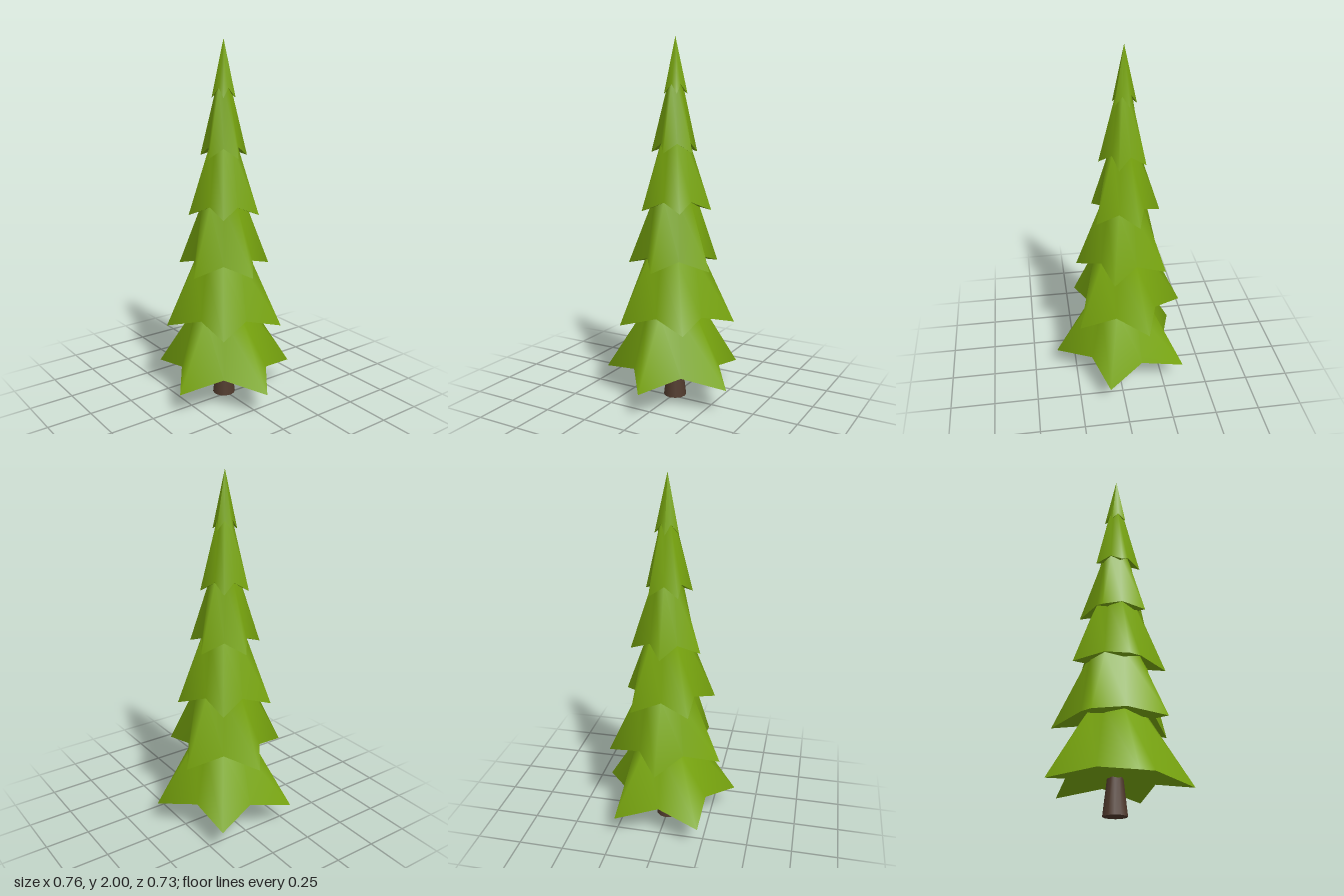
import * as THREE from 'three';

const TIERS = 6, POINTS = 5, N = POINTS * 2;
const AXIS_Z = -0.035;

// Geometry from rows of vertices and triangle indices
function build(vertices, index) {
  const g = new THREE.BufferGeometry();
  g.setAttribute('position', new THREE.Float32BufferAttribute(vertices.flat(), 3));
  g.setIndex(index);
  g.computeVertexNormals();
  return g;
}

// One tier: a drooping five-pointed star hem rising to a round top
function tier(radius, tipY, topRadius, topY, turn, material) {
  const hem = [], top = [];
  const notchY = tipY + 0.05;
  for (let i = 0; i < N; i++) {
    const a = turn + (i / N) * Math.PI * 2;
    const isTip = i % 2 === 0;
    const r = isTip ? radius : radius * 0.63;
    hem.push([r * Math.sin(a), isTip ? tipY : notchY, r * Math.cos(a)]);
    top.push([topRadius * Math.sin(a), topY, topRadius * Math.cos(a)]);
  }
  const sides = [], under = [];
  for (let i = 0; i < N; i++) {
    const j = (i + 1) % N;
    sides.push(i, j, N + i, j, N + j, N + i);
    under.push(N, j, i);
  }
  const group = new THREE.Group();
  const skirt = new THREE.Mesh(build([...hem, ...top], sides), material);
  skirt.name = 'branchSkirt';
  const underside = new THREE.Mesh(build([...hem, [0, notchY, 0]], under), material);
  underside.name = 'branchUnderside';
  group.add(skirt, underside);
  return group;
}

export function createModel() {
  const needles = new THREE.MeshStandardMaterial({ color: 0x7aa80f });
  needles.name = 'needleGreen';
  const bark = new THREE.MeshStandardMaterial({ color: 0x503a2d });
  bark.name = 'barkBrown';

  const tree = new THREE.Group();
  tree.name = 'pineTree';

  // Tapered trunk
  const trunk = new THREE.Mesh(new THREE.CylinderGeometry(0.038, 0.064, 0.22, 12), bark);
  trunk.name = 'trunk';
  trunk.position.set(0, 0.11, AXIS_Z);
  tree.add(trunk);

  // Shrinking tiers, each turned so its points fall between those below
  const topRadii = [0.17, 0.16, 0.123, 0.08, 0.041, 0.0005];
  for (let i = 0; i < TIERS; i++) {
    const tipY = 0.14 + 0.312 * i;
    const topY = i === TIERS - 1 ? 2 : tipY + 0.365;
    const branch = tier(0.4 * (TIERS - i) / TIERS, tipY, topRadii[i], topY, (i % 2) * Math.PI, needles);
    branch.name = `branchTier${i + 1}`;
    branch.position.z = AXIS_Z;
    tree.add(branch);
  }
  return tree;
}
